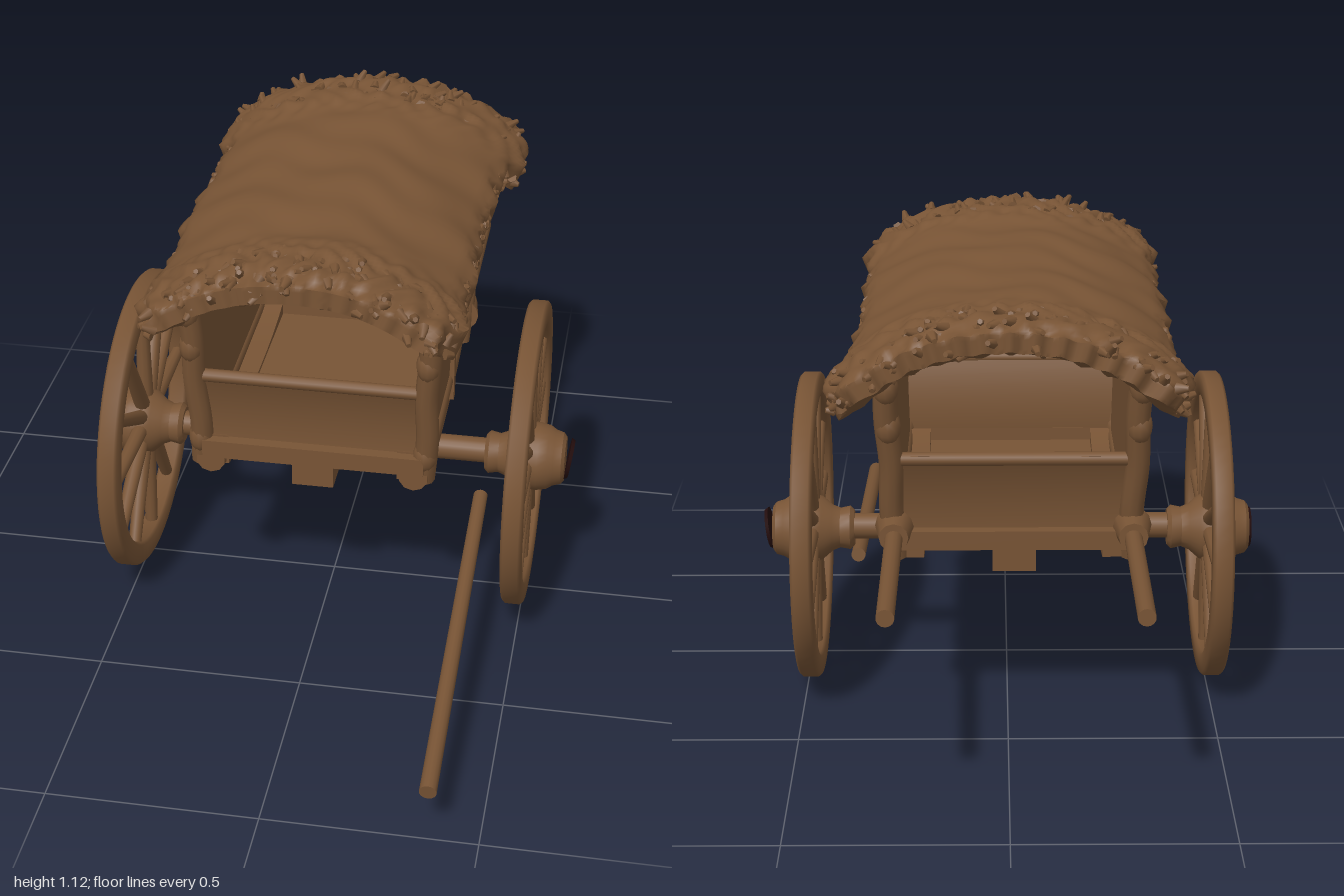
import * as THREE from 'three';
import { mergeGeometries, mergeVertices, toCreasedNormals } from 'three/addons/utils/BufferGeometryUtils.js';

const wood = new THREE.MeshStandardMaterial({ color: 0x785435 });
wood.name = 'brown wood';
const dark = new THREE.MeshStandardMaterial({ color: 0x240d0d });
dark.name = 'dark hub end';

let seed = 7;
const rand = () => (seed = (seed * 16807) % 2147483647) / 2147483647;
const V = (x, y, z) => new THREE.Vector3(x, y, z);
const smooth = THREE.MathUtils.smoothstep;

function add(parent, name, geometry, material = wood) {
  const mesh = new THREE.Mesh(geometry, material);
  mesh.name = name;
  parent.add(mesh);
  return mesh;
}

// Round bar between two points
function bar(a, b, r0, r1 = r0, sides = 12) {
  const d = b.clone().sub(a);
  const g = new THREE.CylinderGeometry(r1, r0, d.length(), sides);
  g.applyQuaternion(new THREE.Quaternion().setFromUnitVectors(V(0, 1, 0), d.clone().normalize()));
  return g.translate((a.x + b.x) / 2, (a.y + b.y) / 2, (a.z + b.z) / 2);
}

// Box given by its limits
function block(x0, x1, y0, y1, z0, z1) {
  return new THREE.BoxGeometry(x1 - x0, y1 - y0, z1 - z0)
    .translate((x0 + x1) / 2, (y0 + y1) / 2, (z0 + z1) / 2);
}

// Moves each vertex by a rule
function bend(geometry, rule) {
  const p = geometry.attributes.position, v = V(0, 0, 0);
  for (let i = 0; i < p.count; i++) {
    rule(v.fromBufferAttribute(p, i));
    p.setXYZ(i, v.x, v.y, v.z);
  }
  geometry.computeVertexNormals();
  return geometry;
}

// Body leans outward towards the top
const frontZ = y => 0.235 + (y - 0.46) * 0.13;
const backZ = y => -0.455 - (y - 0.46) * 0.2;

// Height of the roof's top surface
const archY = x => 1.095 - 0.16 * Math.pow(Math.abs(x) / 0.4, 2.3);

// Roof outline along its length, w from -1 (back) to 1 (front)
const shagAt = w => smooth(Math.abs(w), 0.55, 0.75);
const halfWidth = w => (w < 0 ? 0.355 + 0.033 * shagAt(w) : 0.355) - 0.03 * smooth(Math.abs(w), 0.8, 1);
const shiftX = w => -0.015 + 0.015 * smooth(-w, 0.3, 0.7);
const roofZ = (u, w) => -0.132 + w * (0.605 + 0.026 * u * u);

function roofGeometry() {
  let g = new THREE.BoxGeometry(2, 1, 2, 70, 4, 110);
  g.deleteAttribute('uv');
  g.deleteAttribute('normal');
  g = mergeVertices(g);
  bend(g, v => {
    const { x: u, y: t, z: w } = v;
    const shag = shagAt(w);
    const rag = Math.sin(u * 19 + 2 * Math.sin(w * 13)) * Math.sin(w * 33 + 2 * Math.sin(u * 11))
      + 0.5 * Math.sin(u * 41 + 2 * Math.sin(w * 29));
    const fold = Math.sin(w * 9 + Math.sin(u * 4) * 1.5) + 0.6 * Math.sin(w * 21 - u * 5 + Math.sin(u * 9));
    const rim = Math.sqrt(1 - 0.7 * smooth(Math.abs(w), 0.9, 1)) * Math.sqrt(1 - 0.6 * smooth(Math.abs(u), 0.9, 1));
    const thick = 0.048 + 0.032 * shag;
    const x = u * (halfWidth(w) + 0.008 * rag * smooth(Math.abs(u), 0.85, 1));
    const lift = t * thick * rim + 0.005 * fold * (1 - shag) + 0.007 * rag * shag;
    const slope = -0.92 * Math.pow(Math.abs(x) / 0.4, 1.3) * Math.sign(x);
    const n = Math.hypot(1, slope);
    // The underside hangs down a little along the eaves
    const hang = (0.032 + 0.008 * rag) * (0.5 - t) * smooth(Math.abs(u), 0.84, 0.97) * (1 - smooth(Math.abs(w), 0.8, 1));
    v.set(x + shiftX(w) - slope * lift / n, archY(x) - 0.012 * (1 - shag) - thick / 2 + 0.004 + lift / n - hang,
      roofZ(u, w) + 0.012 * rag * Math.sign(w) * smooth(Math.abs(w), 0.92, 1));
  });
  return toCreasedNormals(g, 1.2);
}

// Straw tufts round both ends and along the eaves
function tuftGeometry() {
  const parts = [];
  const tuft = (u, w, push, drop, len, r) => {
    const x = u * halfWidth(w);
    const a = V(x + shiftX(w), archY(x) - drop, roofZ(u, w));
    const dir = V(u * 0.5 + (rand() - 0.5), (rand() - 0.55) * 1.2, push + (rand() - 0.5) * 0.8).normalize();
    parts.push(bar(a, a.clone().addScaledVector(dir, len), r, r * 0.45, 6));
  };
  for (const s of [-1, 1]) {
    for (let i = 0; i < 170; i++) {
      const w = s * (0.72 + rand() * 0.27);
      tuft(rand() * 2 - 1, w, s * 0.8, 0.002 + rand() * (Math.abs(w) > 0.94 ? 0.06 : 0.015), 0.02 + rand() * 0.022, 0.014);
    }
    for (let i = 0; i < 70; i++) {
      const w = rand() * 1.9 - 0.95;
      tuft(s * 0.99, w, 0, 0.02 + rand() * 0.05, 0.015 + shagAt(w) * 0.018 * rand(), 0.014);
    }
  }
  return mergeGeometries(parts);
}

function wheel(side) {
  const g = new THREE.Group();
  g.name = side > 0 ? 'leftWheel' : 'rightWheel';

  // Rim with slightly rounded edges, spun about x
  const rim = [[0.345, -0.018], [0.352, -0.025], [0.4, -0.025], [0.407, -0.018],
    [0.407, 0.018], [0.4, 0.025], [0.352, 0.025], [0.345, 0.018], [0.345, -0.018]]
    .map(([r, h]) => new THREE.Vector2(r, h));
  const tilt = new THREE.Group();
  tilt.name = 'rimAndSpokes';
  tilt.scale.y = 0.93;
  g.add(tilt);
  add(tilt, 'rim', toCreasedNormals(new THREE.LatheGeometry(rim, 64), 0.8).rotateZ(-Math.PI / 2));
  for (let i = 0; i < 12; i++) {
    const a = i * Math.PI / 6, c = Math.cos(a), s = Math.sin(a);
    add(tilt, 'spoke', bar(V(0, s * 0.04, c * 0.04), V(0, s * 0.355, c * 0.355), 0.021, 0.016, 10));
  }

  // Turned hub, tapering both ways from the wheel
  const hub = [[0, -0.105], [0.045, -0.105], [0.055, -0.095], [0.05, -0.07], [0.058, -0.05],
    [0.08, -0.025], [0.087, 0.0], [0.087, 0.03], [0.082, 0.055], [0.072, 0.07], [0.066, 0.09], [0.056, 0.098], [0, 0.098]]
    .map(([r, h]) => new THREE.Vector2(r, h));
  const hubMesh = add(g, 'hub', toCreasedNormals(new THREE.LatheGeometry(hub, 28), 0.5).rotateZ(-Math.PI / 2));
  hubMesh.position.y = -0.012;
  if (side < 0) hubMesh.rotation.y = Math.PI;

  // Hub end, set crooked on the left wheel
  const end = add(g, 'hubEnd', new THREE.CylinderGeometry(0.049, 0.054, 0.009, 12).rotateZ(-side * Math.PI / 2), dark);
  end.position.set(side > 0 ? 0.108 : -0.1, -0.012, 0);
  end.rotation.z = side > 0 ? -0.15 : 0;
  g.position.set(side > 0 ? 0.487 : -0.507, 0.38, -0.056);
  return g;
}

export function createModel() {
  const model = new THREE.Group();
  model.name = 'coveredCart';

  // Wheels and axle
  model.add(wheel(1), wheel(-1));
  add(model, 'axle', bar(V(-0.42, 0.372, -0.055), V(0.4, 0.372, -0.055), 0.032, 0.032, 20));
  add(model, 'axleBlock', block(-0.066, 0.036, 0.402, 0.49, -0.42, 0.23));

  const body = new THREE.Group();
  body.name = 'body';
  body.position.x = -0.012;
  model.add(body);

  // Floor and lengthwise beams
  add(body, 'floor', block(-0.27, 0.27, 0.475, 0.5, -0.46, 0.24));
  for (const s of [-1, 1]) {
    add(body, 'floorBeam', bend(new THREE.BoxGeometry(0.075, 0.08, 0.72, 1, 1, 12), v => {
      v.x += s * 0.245;
      v.y += 0.468 + 0.03 * Math.abs(v.z / 0.36) ** 3;
      v.z -= 0.11;
    }));

    // Side wall with leaning ends
    add(body, 'sideWall', bend(new THREE.BoxGeometry(0.025, 0.47, 1, 1, 8, 1), v => {
      const y = v.y + 0.705;
      v.set(s * (0.272 + (y - 0.47) * 0.03) + v.x, y, v.z > 0 ? frontZ(y) : backZ(y));
    }));
    const wallX = y => s * (0.274 + (y - 0.47) * 0.03);

    // Corner posts with knots
    for (const zAt of [frontZ, backZ]) {
      const pts = [0.46, 0.58, 0.7, 0.82, 0.95].map((y, i) => V(wallX(y) + (i % 2 ? 0.004 : -0.002), y, zAt(y)));
      add(body, 'cornerPost', new THREE.TubeGeometry(new THREE.CatmullRomCurve3(pts), 20, 0.028, 10));
      for (const y of [0.53, 0.8, 0.9]) {
        add(body, 'postKnot', new THREE.SphereGeometry(0.03, 12, 8).scale(1, 1.5, 1.1)
          .translate(wallX(y), y, zAt(y)));
      }
    }

    // Middle stud and rail on the side wall
    add(body, 'wallStud', block(s * 0.289 - 0.01, s * 0.289 + 0.01, 0.47, 0.93, -0.155, -0.125));
    add(body, 'wallRail', block(s * 0.285 - 0.01, s * 0.285 + 0.01, 0.715, 0.74, -0.5, 0.26));

    // Pulling shafts with collars, carried along the sides
    add(body, 'shaft', bar(V(s * 0.275, 0.518, 0.25), V(s * 0.275, 0.54, -1), 0.022, 0.02, 14));
    add(body, 'shaftCollar', bar(V(s * 0.275, 0.535, -0.46), V(s * 0.275, 0.535, -0.54), 0.046, 0.034, 12));
    add(body, 'sillBracket', bar(V(s * 0.25, 0.475, 0.22), V(s * 0.25, 0.475, 0.265), 0.042, 0.036, 10));
  }

  // Low end boards, each with a top rail and a sill
  for (const [zAt, out, name] of [[frontZ, 1, 'front'], [backZ, -1, 'back']]) {
    add(body, name + 'Board', bend(new THREE.BoxGeometry(0.54, 0.23, 0.02, 1, 8, 1), v => {
      const k = v.y / 0.115;
      v.y += 0.61;
      v.z += zAt(v.y) - out * 0.016 * (1 - k * k);
    }));
    add(body, name + 'TopRail', bar(V(-0.27, 0.715, zAt(0.715)), V(0.27, 0.715, zAt(0.715)), 0.016));
    const z = zAt(0.5) + out * 0.01;
    add(body, name + 'Sill', block(-0.268, 0.275, 0.487, 0.533, z - 0.025, z + 0.025));
    // Arched roof rib above the opening
    const rib = [-0.3, -0.2, -0.1, 0, 0.1, 0.2, 0.3].map(x => V(x, archY(x) - 0.055, zAt(0.95)));
    add(body, name + 'Rib', new THREE.TubeGeometry(new THREE.CatmullRomCurve3(rib), 28, 0.022, 8));
  }

  // Thatched roof
  add(model, 'roof', roofGeometry());
  add(model, 'strawTufts', tuftGeometry());

  // Prop pole beside the left wheel
  add(model, 'propPole', bar(V(0.378, 0.27, 0), V(0.382, 0.133, 0.997), 0.018, 0.02, 14));
  return model;
}
